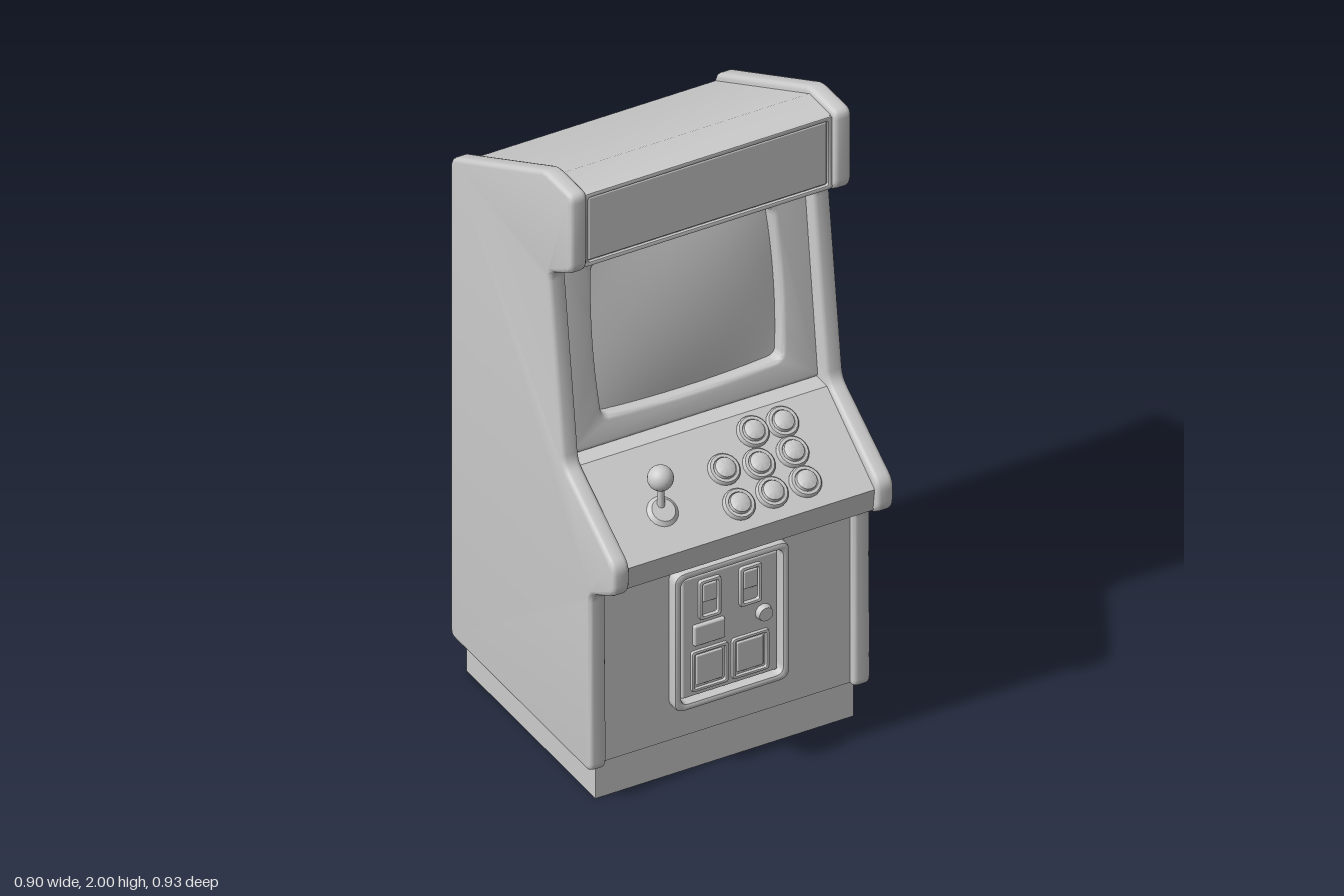
import * as THREE from 'three';
import { RoundedBoxGeometry } from 'three/addons/geometries/RoundedBoxGeometry.js';
import { toCreasedNormals } from 'three/addons/utils/BufferGeometryUtils.js';

const grey = new THREE.MeshStandardMaterial({ color: 0xcccccc });

function add(parent, name, geometry, x = 0, y = 0, z = 0) {
  const mesh = new THREE.Mesh(geometry, grey);
  mesh.name = name;
  mesh.position.set(x, y, z);
  parent.add(mesh);
  return mesh;
}

function box(parent, name, w, h, d, x, y, z, r = 0.008) {
  return add(parent, name, new RoundedBoxGeometry(w, h, d, 2, r), x, y, z);
}

// Closed outline whose corners are rounded by distance r
function roundedOutline(points, r, Type = THREE.Shape) {
  const pts = points.map(([x, y]) => new THREE.Vector2(x, y));
  const out = new Type();
  pts.forEach((p, i) => {
    const prev = pts[(i + pts.length - 1) % pts.length];
    const next = pts[(i + 1) % pts.length];
    const a = p.clone().add(prev.clone().sub(p).setLength(r));
    const b = p.clone().add(next.clone().sub(p).setLength(r));
    if (i === 0) out.moveTo(a.x, a.y);
    else out.lineTo(a.x, a.y);
    out.quadraticCurveTo(p.x, p.y, b.x, b.y);
  });
  out.closePath();
  return out;
}

// Extrude a (z, y) profile across x, centred on x = 0
function acrossX(shape, width, bevel) {
  const depth = width - 2 * bevel;
  const g = new THREE.ExtrudeGeometry(shape, {
    depth, curveSegments: 4, bevelEnabled: bevel > 0, bevelThickness: bevel,
    bevelSize: bevel, bevelOffset: -bevel, bevelSegments: 3,
  });
  g.translate(0, 0, -depth / 2);
  g.rotateY(-Math.PI / 2);
  return toCreasedNormals(g, 0.6);
}

const rect = (x0, y0, x1, y1) => [[x0, y0], [x1, y0], [x1, y1], [x0, y1]];

// Flat rectangular frame with its front face at z = depth
function frame(w, h, border, depth, r) {
  const s = roundedOutline(rect(-w / 2, -h / 2, w / 2, h / 2), r);
  const a = w / 2 - border, b = h / 2 - border;
  s.holes.push(roundedOutline(rect(-a, -b, a, b), r * 0.7, THREE.Path));
  const bevel = Math.min(border, depth) * 0.3;
  const g = new THREE.ExtrudeGeometry(s, {
    depth: depth - bevel, bevelThickness: bevel, bevelSize: bevel, bevelOffset: -bevel,
    bevelSegments: 2, curveSegments: 5,
  });
  return toCreasedNormals(g, 0.6);
}

function buildCabinet(root) {
  const side = roundedOutline([
    [0.335, 0.115], [0.33, 0.715], [0.465, 0.79], [0.465, 0.885], [0.18, 1.065],
    [0.10, 1.67], [0.225, 1.74], [0.225, 2.0], [0.07, 2.0], [-0.46, 1.73], [-0.46, 0.115],
  ], 0.028);
  for (const s of [1, -1]) {
    add(root, s > 0 ? 'leftSidePanel' : 'rightSidePanel', acrossX(side, 0.055, 0.014), s * 0.4245);
  }

  const body = new THREE.Shape([
    [0.31, 0.125], [0.31, 0.765], [0.44, 0.785], [0.45, 0.86], [0.18, 1.05], [0.03, 1.05],
    [-0.05, 1.70], [0.05, 1.70], [0.20, 1.735], [0.20, 1.98], [0.08, 1.98],
    [-0.45, 1.71], [-0.45, 0.125],
  ].map(([z, y]) => new THREE.Vector2(z, y)));
  add(root, 'cabinetBody', acrossX(body, 0.82, 0));
  add(root, 'plinth', new THREE.BoxGeometry(0.83, 0.13, 0.73), 0, 0.065, -0.065);

  // Lit sign above the screen
  add(root, 'marqueeFrame', frame(0.80, 0.245, 0.014, 0.01, 0.012), 0, 1.858, 0.199);
  box(root, 'marqueePanel', 0.765, 0.21, 0.012, 0, 1.858, 0.199, 0.004);
}

function buildScreen(root) {
  const display = new THREE.Group();
  display.name = 'display';
  display.position.set(0, 1.05, 0.13);
  display.rotation.x = -Math.atan2(0.08, 0.65);
  root.add(display);

  // Bezel plate with a bowed opening
  const plate = new THREE.Shape(rect(-0.41, 0, 0.41, 0.66).map(([x, y]) => new THREE.Vector2(x, y)));
  const hole = new THREE.Path();
  const x = 0.29, y0 = 0.09, y1 = 0.575, c = 0.03, bow = 0.018;
  hole.moveTo(-x + c, y0);
  hole.quadraticCurveTo(0, y0 - bow, x - c, y0);
  hole.quadraticCurveTo(x, y0, x, y0 + c);
  hole.quadraticCurveTo(x + bow, (y0 + y1) / 2, x, y1 - c);
  hole.quadraticCurveTo(x, y1, x - c, y1);
  hole.quadraticCurveTo(0, y1 + bow, -x + c, y1);
  hole.quadraticCurveTo(-x, y1, -x, y1 - c);
  hole.quadraticCurveTo(-x - bow, (y0 + y1) / 2, -x, y0 + c);
  hole.quadraticCurveTo(-x, y0, -x + c, y0);
  plate.holes.push(hole);
  const bezel = new THREE.ExtrudeGeometry(plate, {
    depth: 0.035, bevelThickness: 0.015, bevelSize: 0.015, bevelOffset: -0.015,
    bevelSegments: 3, curveSegments: 8,
  });
  add(display, 'screenBezel', toCreasedNormals(bezel, 0.6), 0, 0, -0.05);

  // Bulging picture tube
  const glass = new THREE.PlaneGeometry(0.64, 0.54, 16, 14);
  const p = glass.attributes.position;
  for (let i = 0; i < p.count; i++) {
    const u = p.getX(i) / 0.32, v = p.getY(i) / 0.27;
    p.setZ(i, 0.03 * (1 - u * u) * (1 - v * v));
  }
  glass.computeVertexNormals();
  add(display, 'screenGlass', glass, 0, 0.333, -0.045);
}

function buildControls(root) {
  // Group lies in the sloping panel: local y is the panel normal
  const slope = Math.atan2(0.19, 0.27);
  const deck = new THREE.Group();
  deck.name = 'controlPanel';
  deck.position.set(0, 0.86, 0.45);
  deck.rotation.x = slope;
  root.add(deck);
  const along = (z) => (z - 0.45) / Math.cos(slope);

  const profile = [[0.048, -0.01], [0.048, 0.006], [0.043, 0.013], [0.034, 0.013], [0.032, 0.009],
    [0.03, 0.02], [0.022, 0.025], [0, 0.027]].map(([r, y]) => new THREE.Vector2(r, y));
  const button = toCreasedNormals(new THREE.LatheGeometry(profile, 20), 0.7);
  const spots = [[0.13, 0.23], [0.225, 0.23], [0, 0.295], [0.105, 0.308], [0.215, 0.305],
    [-0.003, 0.385], [0.105, 0.382], [0.212, 0.382]];
  for (const [x, z] of spots) add(deck, 'button', button, x, 0, along(z));

  add(deck, 'joystickCollar', new THREE.CylinderGeometry(0.035, 0.05, 0.014, 20), -0.225, 0.004, along(0.345));
  add(root, 'joystickShaft', new THREE.CylinderGeometry(0.01, 0.012, 0.12, 12), -0.225, 0.975, 0.335);
  add(root, 'joystickBall', new THREE.SphereGeometry(0.038, 20, 14), -0.225, 1.04, 0.333);
}

function buildCoinDoor(root) {
  const door = new THREE.Group();
  door.name = 'coinDoor';
  door.position.z = 0.31;
  root.add(door);
  add(door, 'coinDoorFrame', frame(0.37, 0.465, 0.022, 0.035, 0.035), 0, 0.465, 0);
  box(door, 'coinDoorPanel', 0.31, 0.405, 0.04, 0, 0.465, 0);
  for (const x of [-0.068, 0.063]) {
    add(door, 'coinSlotFrame', frame(0.07, 0.13, 0.01, 0.014, 0.01), x, 0.585, 0.018);
    box(door, 'coinSlot', 0.045, 0.06, 0.014, x, 0.605, 0.022, 0.004);
    add(door, 'returnDoorFrame', frame(0.118, 0.135, 0.009, 0.012, 0.01), x, 0.35, 0.018);
    box(door, 'returnDoor', 0.085, 0.1, 0.012, x, 0.35, 0.02, 0.004);
  }
  box(door, 'rejectPlate', 0.1, 0.068, 0.02, -0.07, 0.47, 0.022, 0.006);
  const lock = add(door, 'lock', new THREE.CylinderGeometry(0.022, 0.027, 0.024, 18), 0.107, 0.475, 0.026);
  lock.rotation.x = Math.PI / 2;
}

function buildBack(root) {
  const back = new THREE.Group();
  back.name = 'backPanel';
  back.position.z = -0.45;
  back.rotation.y = Math.PI;
  root.add(back);
  box(back, 'serviceDoor', 0.66, 0.57, 0.014, 0, 0.765, 0, 0.005);
  box(back, 'serviceDoorRail', 0.66, 0.085, 0.01, 0, 1.105, 0, 0.004);
  add(back, 'ventFrame', frame(0.67, 0.12, 0.012, 0.008, 0.012), 0, 0.225, 0);
  for (let i = 0; i < 4; i++) {
    const slat = box(back, 'ventSlat', 0.63, 0.018, 0.008, 0, 0.189 + i * 0.024, 0.002, 0.003);
    slat.rotation.x = 0.4;
  }
}

export function createModel() {
  const root = new THREE.Group();
  root.name = 'arcadeCabinet';
  buildCabinet(root);
  buildScreen(root);
  buildControls(root);
  buildCoinDoor(root);
  buildBack(root);
  return root;
}
